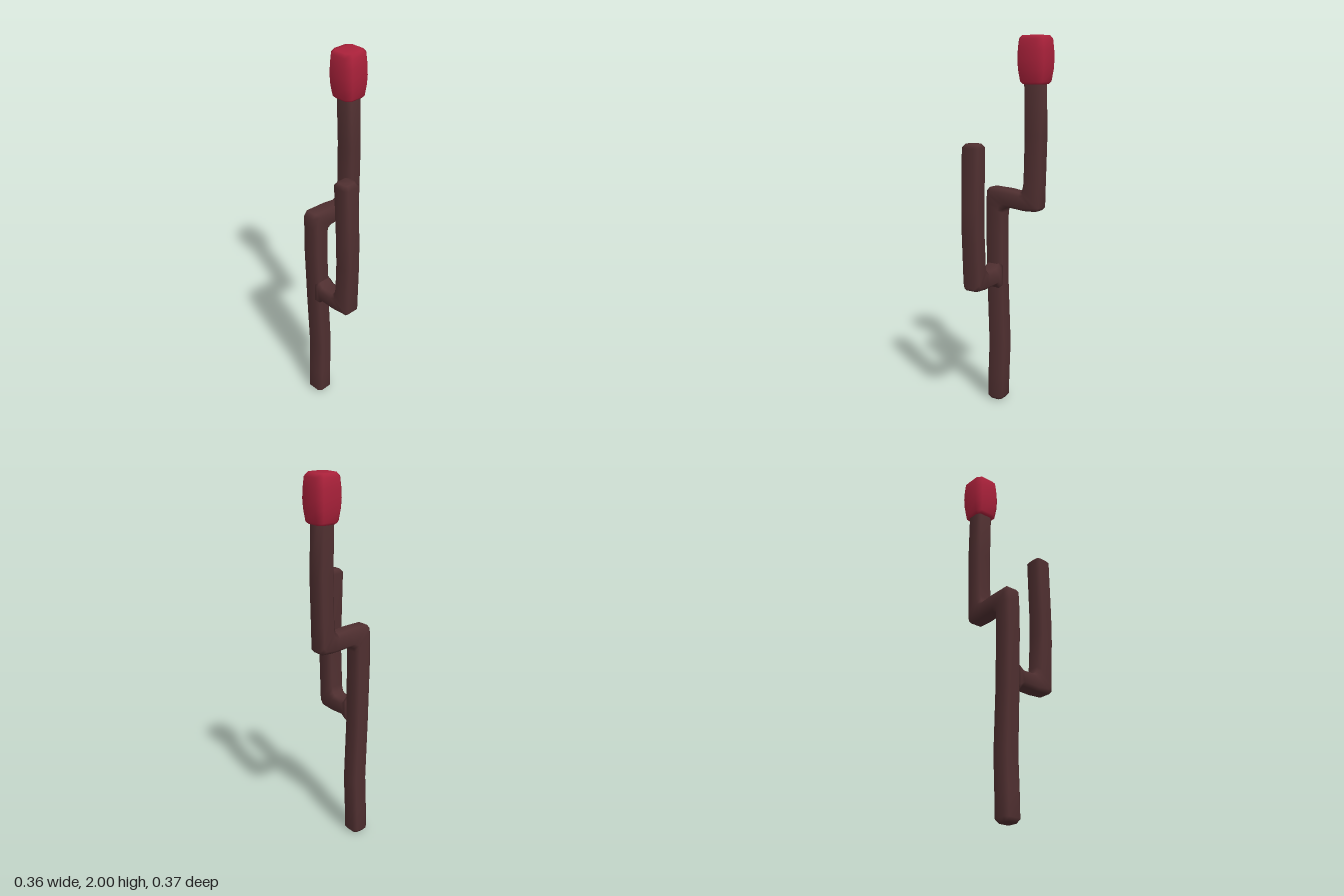
import * as THREE from 'three';

// Chamfered square cross-section, in -1..1 units
const K = 0.64;
const RING = [[1, -K], [1, K], [K, 1], [-K, 1], [-1, K], [-1, -K], [-K, -1], [K, -1]];

// Lofts the section through rows lying in one upright plane.
// Row: [h1, y1, h2, y2, half], the two opposite edges and half the depth.
function loft(rows, depth, toWorld) {
  const pos = [], idx = [], n = RING.length, last = rows.length - 1;
  for (const [h1, y1, h2, y2, half] of rows) {
    for (const [s, t] of RING) {
      const f = (s + 1) / 2;
      pos.push(...toWorld(h1 + (h2 - h1) * f, y1 + (y2 - y1) * f, depth + t * half));
    }
  }
  for (let i = 0; i < last; i++) {
    for (let j = 0; j < n; j++) {
      const a = i * n + j, b = i * n + (j + 1) % n;
      idx.push(a, a + n, b, b, a + n, b + n);
    }
  }
  // End caps
  for (let j = 1; j < n - 1; j++) {
    idx.push(0, j, j + 1, last * n, last * n + j + 1, last * n + j);
  }
  const g = new THREE.BufferGeometry();
  g.setAttribute('position', new THREE.Float32BufferAttribute(pos, 3));
  g.setIndex(idx);
  g.computeVertexNormals();
  return g;
}

const inZY = (h, y, d) => [d, y, h];
const inXY = (h, y, d) => [h, y, d];

export function createModel() {
  const group = new THREE.Group();
  const bark = new THREE.MeshStandardMaterial({ color: 0x4f2f30 });
  bark.name = 'dark brown bark';
  const red = new THREE.MeshStandardMaterial({ color: 0xa9213a });
  red.name = 'crimson';
  const add = (name, geometry, material) => {
    const mesh = new THREE.Mesh(geometry, material);
    mesh.name = name;
    group.add(mesh);
  };

  // Stem: rises, steps backwards, then rises to the tip
  const w = 0.051;
  add('stem', loft([
    [0.16, 0, 0.095, 0, 0.035],
    [0.176, 0.02, 0.079, 0.02, w],
    [0.173, 0.15, 0.075, 0.15, w],
    [0.165, 0.33, 0.067, 0.33, w],
    [0.176, 0.66, 0.08, 0.66, w],
    [0.183, 0.98, 0.081, 0.95, w],
    [0.18, 1.13, 0.08, 1.075, w],
    [0.178, 1.185, 0.073, 1.094, w],
    [0.16, 1.207, 0.05, 1.107, w],
    [0.05, 1.203, 0.02, 1.107, w],
    [-0.03, 1.193, -0.06, 1.1, w],
    [-0.047, 1.205, -0.132, 1.103, w],
    [-0.055, 1.235, -0.15, 1.122, w],
    [-0.058, 1.3, -0.153, 1.25, w],
    [-0.063, 1.5, -0.16, 1.5, w],
    [-0.058, 1.79, -0.153, 1.79, w],
  ], -0.102, inZY), bark);

  // Side branch: leaves the stem sideways and turns up
  add('sideBranch', loft([
    [-0.07, 0.81, -0.07, 0.65, w],
    [-0.052, 0.795, -0.052, 0.66, w],
    [-0.03, 0.77, -0.03, 0.685, w],
    [0.045, 0.77, 0.07, 0.68, w],
    [0.062, 0.785, 0.147, 0.685, w],
    [0.07, 0.815, 0.165, 0.702, w],
    [0.08, 1.0, 0.176, 0.98, w],
    [0.08, 1.12, 0.176, 1.12, w],
    [0.069, 1.44, 0.167, 1.44, w],
    [0.085, 1.46, 0.15, 1.46, 0.035],
  ], 0.126, inXY), bark);

  // Bulging bud on the tip
  const bud = [[1.757, 0.055], [1.77, 0.067], [1.83, 0.076], [1.88, 0.079],
    [1.93, 0.077], [1.982, 0.072], [2, 0.058]];
  add('bud', loft(bud.map(([y, r]) => [-0.107 + r, y, -0.107 - r, y, r]), -0.102, inZY), red);

  return group;
}
